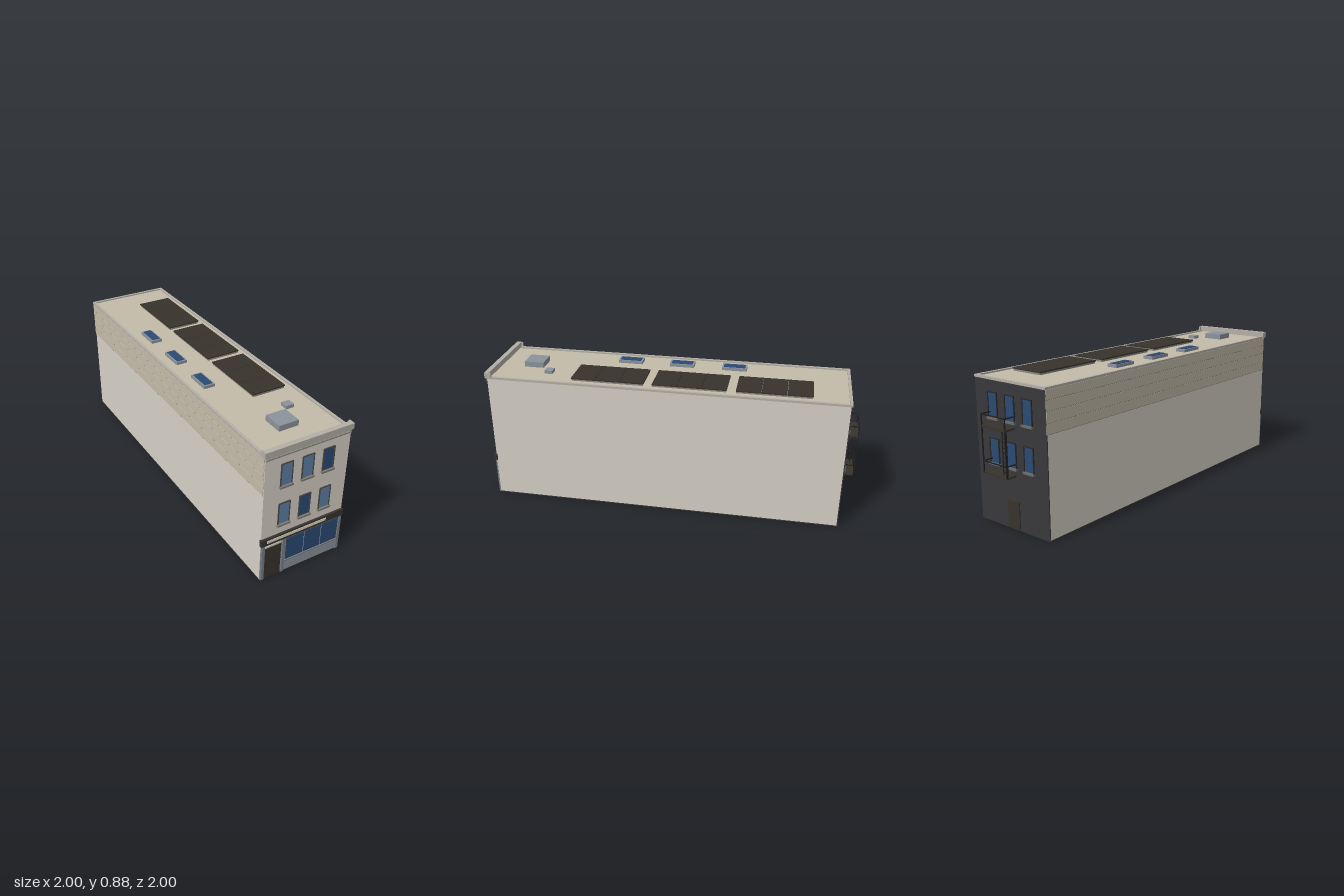
import * as THREE from 'three';

const mats = {};
function mat(color) {
  return (mats[color] ??= new THREE.MeshStandardMaterial({ color }));
}
const WALL = 0xd6d0c6, TAN = 0xc4bba8, BROWN = 0x38332c, SLATE = 0x8b939b, GLASS = 0x2b4a73,
  PALE_GLASS = 0x5f80a6, CHARCOAL = 0x38383b, IRON = 0x1f1f20, STONE = 0xb4afa6;

// Box given by its extents along x, y and z
function box(parent, name, color, x0, x1, y0, y1, z0, z1) {
  const m = new THREE.Mesh(new THREE.BoxGeometry(x1 - x0, y1 - y0, z1 - z0), mat(color));
  m.position.set((x0 + x1) / 2, (y0 + y1) / 2, (z0 + z1) / 2);
  m.name = name;
  parent.add(m);
  return m;
}

// Sash window built facing +z, centred on x = 0, bottom at y = 0
function makeWindow(glass, frame, sill) {
  const g = new THREE.Group();
  g.name = 'window';
  const w = 0.036, h = 0.143;
  box(g, 'windowGlass', glass, -w, w, 0, h, -0.004, 0.002);
  for (const s of [-1, 1]) {
    box(g, 'windowJamb', frame, s * w - 0.003, s * w + 0.003, 0, h, -0.004, 0.006);
  }
  box(g, 'windowHead', frame, -w, w, h - 0.004, h + 0.002, -0.004, 0.006);
  box(g, 'windowSill', sill, -0.043, 0.043, -0.012, 0, -0.004, 0.014);
  return g;
}

export function createModel() {
  const root = new THREE.Group();
  root.name = 'building';
  const b = new THREE.Group();
  b.name = 'rowBuilding';
  b.rotation.y = Math.PI / 4; // the street front faces the +x +z corner
  root.add(b);

  const W = 0.277, F = 1.115, B = -1.137, H = 0.835;

  // Main body, dark rear wall and base line
  box(b, 'body', WALL, -W, W, 0, H, B + 0.006, F);
  box(b, 'rearWall', CHARCOAL, -W, W, 0, H, B, B + 0.006);
  box(b, 'baseCourse', CHARCOAL, -W - 0.001, W + 0.001, 0, 0.006, B - 0.001, F + 0.001);

  // Lapped siding on the upper right wall
  const laps = [0.595, 0.655, 0.72, 0.78, H];
  for (let i = 0; i < 4; i++) {
    box(b, 'siding', TAN, -W - 0.003, -W, laps[i] + 0.003, laps[i + 1], B, F - 0.005);
    box(b, 'sidingJoint', 0x77736a, -W - 0.001, -W, laps[i], laps[i + 1], B, F - 0.005);
  }

  // Roof deck and coping
  box(b, 'roofDeck', TAN, -W, W, H, 0.841, B, F);
  for (const s of [-1, 1]) {
    const x = s * (W - 0.006);
    box(b, 'sideCoping', STONE, x - 0.009, x + 0.009, 0.837, 0.85, B - 0.002, F);
  }
  box(b, 'rearCoping', STONE, -W, W, 0.837, 0.85, B - 0.003, B + 0.014);

  // Front cornice with small brackets
  box(b, 'cornice', STONE, -0.284, 0.284, 0.845, 0.88, F - 0.018, F + 0.013);
  box(b, 'corniceBase', STONE, -W, W, 0.836, 0.845, F - 0.01, F + 0.008);
  box(b, 'corniceMoulding', 0x8d887f, -W, W, 0.82, 0.828, F - 0.002, F + 0.007);
  for (const s of [-1, 1]) {
    box(b, 'corniceEnd', STONE, s * 0.281 - 0.006, s * 0.281 + 0.006, 0.842, 0.878, F - 0.03, F + 0.01);
  }
  for (let i = 0; i < 18; i++) {
    const x = -0.262 + i * 0.0308;
    box(b, 'dentil', STONE, x - 0.007, x + 0.007, 0.826, 0.837, F, F + 0.006);
  }

  // Windows on the front and rear walls
  for (let row = 0; row < 2; row++) {
    for (let col = -1; col <= 1; col++) {
      const y = row ? 0.625 : 0.363;
      const dark = row ? col === 1 : col === 0;
      const front = makeWindow(dark ? GLASS : PALE_GLASS, 0x4c4a47, 0x7e7a73);
      front.position.set(col * 0.137, y, F);
      const rear = makeWindow(GLASS, 0x2a2a2c, 0x6d6b68);
      rear.position.set(col * 0.137, y, B);
      rear.rotation.y = Math.PI;
      b.add(front, rear);
    }
  }

  // Shopfront
  const shop = new THREE.Group();
  shop.name = 'shopfront';
  b.add(shop);
  box(shop, 'shopPanel', SLATE, -W, W, 0, 0.25, F - 0.002, F + 0.004);
  box(shop, 'signBand', BROWN, -W - 0.005, W + 0.005, 0.25, 0.295, F - 0.006, F + 0.014);
  box(shop, 'signStrip', 0xd9d3bf, -0.245, 0.155, 0.266, 0.284, F + 0.013, F + 0.017);
  box(shop, 'door', BROWN, -0.25, -0.142, 0.004, 0.222, F, F + 0.008);
  box(shop, 'doorTransom', 0xcfcdbd, -0.25, -0.142, 0.224, 0.236, F, F + 0.008);
  for (const x of [-0.262, -0.125, 0.268]) {
    box(shop, 'pilaster', 0x787f87, x - 0.009, x + 0.009, 0, 0.25, F, F + 0.01);
  }
  box(shop, 'shopWindowFrame', 0x3a4048, -0.107, 0.257, 0.08, 0.237, F, F + 0.006);
  for (let i = 0; i < 3; i++) {
    const x = -0.103 + i * 0.1195;
    box(shop, 'shopWindowPane', GLASS, x, x + 0.1165, 0.085, 0.233, F, F + 0.008);
    if (i) box(shop, 'mullion', 0xa9b0b6, x - 0.003, x, 0.085, 0.233, F, F + 0.009);
  }
  box(shop, 'shopWindowSill', 0x787f87, -0.112, 0.26, 0.073, 0.081, F, F + 0.012);

  // Rear door
  box(b, 'rearDoor', BROWN, -0.047, 0.047, 0.004, 0.17, B - 0.006, B);

  // Fire escape: two railed platforms joined by posts and a ladder
  const esc = new THREE.Group();
  esc.name = 'fireEscape';
  b.add(esc);
  const ex0 = -0.03, ex1 = 0.164, ez = -1.205, r = 0.003;
  for (const y of [0.315, 0.583]) {
    box(esc, 'platform', BROWN, ex0, ex1, y, y + 0.01, ez, B);
    const top = y + 0.075;
    box(esc, 'frontRail', IRON, ex0, ex1, top - 2 * r, top, ez, ez + 2 * r);
    for (const x of [ex0 + r, ex1 - r]) {
      box(esc, 'sideRail', IRON, x - r, x + r, top - 2 * r, top, ez, B);
      box(esc, 'railPost', IRON, x - r, x + r, y, top, ez, ez + 2 * r);
    }
  }
  for (const x of [ex0 + r, ex1 - r]) {
    box(esc, 'post', IRON, x - r, x + r, 0.315, 0.655, ez, ez + 2 * r);
  }
  for (const x of [-0.015, 0.02]) {
    box(esc, 'ladderRail', IRON, x - 0.002, x + 0.002, 0.32, 0.59, -1.185, -1.181);
  }
  for (let i = 0; i < 9; i++) {
    box(esc, 'ladderRung', IRON, -0.015, 0.02, 0.345 + i * 0.027, 0.348 + i * 0.027, -1.185, -1.181);
  }

  // Solar arrays, three panels each
  for (let a = 0; a < 3; a++) {
    const z0 = -0.912 + a * 0.516;
    box(b, 'solarRack', 0x8c8982, 0.0, 0.216, 0.841, 0.853, z0 + 0.004, z0 + 0.459);
    for (let p = 0; p < 3; p++) {
      const z = z0 + p * 0.1545;
      box(b, 'solarPanel', BROWN, -0.005, 0.222, 0.853, 0.861, z, z + 0.152);
    }
  }

  // Skylights
  for (const z of [-0.405, -0.062, 0.281]) {
    box(b, 'skylightCurb', SLATE, -0.199, -0.128, 0.841, 0.86, z - 0.08, z + 0.08);
    box(b, 'skylightGlass', GLASS, -0.19, -0.137, 0.858, 0.863, z - 0.069, z + 0.069);
  }

  // Rooftop air unit and vent
  box(b, 'airUnit', SLATE, -0.078, 0.05, 0.841, 0.876, 0.82, 0.948);
  box(b, 'roofVent', SLATE, 0.087, 0.139, 0.841, 0.862, 0.731, 0.783);

  return root;
}
